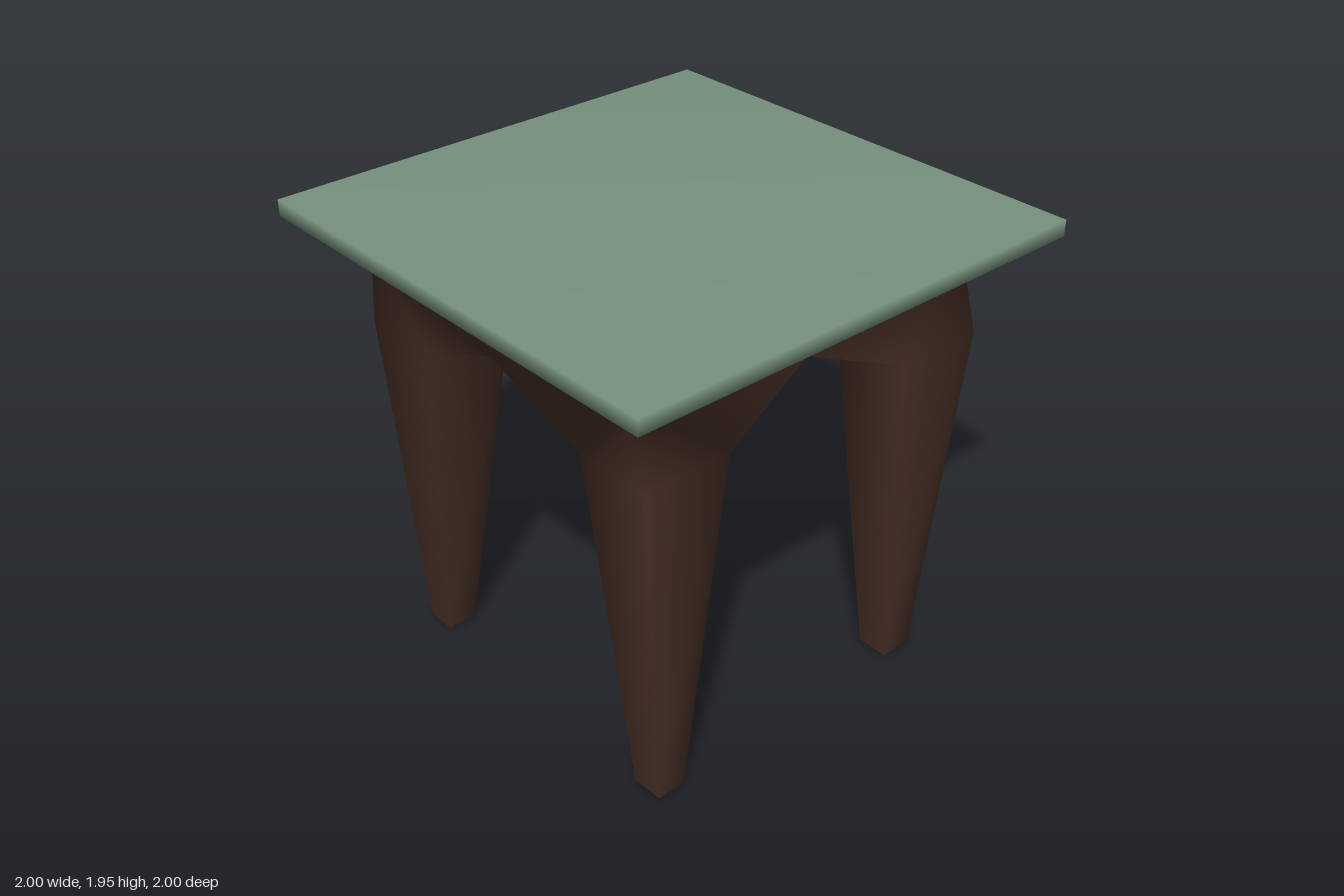
import * as THREE from 'three';

export function createModel() {
  const group = new THREE.Group();
  const green = new THREE.MeshStandardMaterial({ color: 0x76907c });
  green.name = 'sage green';
  const brown = new THREE.MeshStandardMaterial({ color: 0x452e24 });
  brown.name = 'dark brown';

  // Both parts share one vertex list so the shading stays smooth across the seam
  const pos = [], topFaces = [], legFaces = [];
  const v = (x, y, z) => pos.push(x, y, z) / 3 - 1;
  const quad = (out, a, b, c, d) => out.push(a, b, c, a, c, d);
  const ring = (x, y, z) => [v(-x, y, z), v(x, y, z), v(x, y, -z), v(-x, y, -z)];
  const strip = (out, low, up) => {
    for (let k = 0; k < 4; k++) {
      const n = (k + 1) % 4;
      quad(out, low[k], low[n], up[n], up[k]);
    }
  };

  // Tabletop: thin square rim over a bevel
  const upper = ring(1, 1.945, 1);
  const rim = ring(1, 1.88, 1);
  const neck = ring(0.7, 1.79, 0.81);
  quad(topFaces, ...upper);
  strip(topFaces, rim, upper);
  strip(topFaces, neck, rim);

  // Underside grid: low at the legs, rising to the arch crowns
  const xs = [-0.77, -0.42, 0, 0.455, 0.785];
  const zs = [-0.825, -0.44, 0, 0.42, 0.79];
  const grid = xs.map((x, i) => zs.map((z, j) => {
    const crown = i === 2 || j === 2;
    const px = j === 2 && i % 4 === 0 ? Math.sign(x) * 0.72 : x;
    const pz = i === 2 && j % 4 === 0 ? Math.sign(z) * 0.81 : z;
    return v(px, crown ? 1.65 : 1.47, pz);
  }));

  // Arched apron on each side
  const steps = [0, 1, 2, 3, 4];
  const sides = [
    steps.map((k) => grid[k][4]),
    steps.map((k) => grid[4][4 - k]),
    steps.map((k) => grid[4 - k][0]),
    steps.map((k) => grid[0][k]),
  ];
  sides.forEach((p, k) => {
    const a = neck[k], b = neck[(k + 1) % 4];
    legFaces.push(a, p[0], p[1], a, p[1], p[2], a, p[2], b, b, p[2], p[3], b, p[3], p[4]);
  });

  // Tapered legs at the corner cells, vaulted underside elsewhere
  const footX = { 0: [-0.745, -0.615], 3: [0.58, 0.715] };
  const footZ = { 0: [-0.695, -0.56], 3: [0.55, 0.675] };
  for (let i = 0; i < 4; i++) {
    for (let j = 0; j < 4; j++) {
      const cell = [grid[i][j + 1], grid[i + 1][j + 1], grid[i + 1][j], grid[i][j]];
      if (i % 3 === 0 && j % 3 === 0) {
        const [x0, x1] = footX[i], [z0, z1] = footZ[j];
        const y = i === 0 && j === 0 ? 0 : 0.015;
        const foot = [v(x0, y, z1), v(x1, y, z1), v(x1, y, z0), v(x0, y, z0)];
        strip(legFaces, foot, cell);
        quad(legFaces, ...foot.reverse());
      } else {
        quad(legFaces, ...cell.reverse());
      }
    }
  }

  const whole = new THREE.BufferGeometry();
  whole.setAttribute('position', new THREE.Float32BufferAttribute(pos, 3));
  whole.setIndex([...topFaces, ...legFaces]);
  whole.computeVertexNormals();

  const part = (name, faces, material) => {
    const geometry = whole.clone();
    geometry.setIndex(faces);
    const mesh = new THREE.Mesh(geometry.toNonIndexed(), material);
    mesh.name = name;
    group.add(mesh);
  };
  part('tabletop', topFaces, green);
  part('legsAndApron', legFaces, brown);
  group.name = 'sideTable';
  return group;
}
